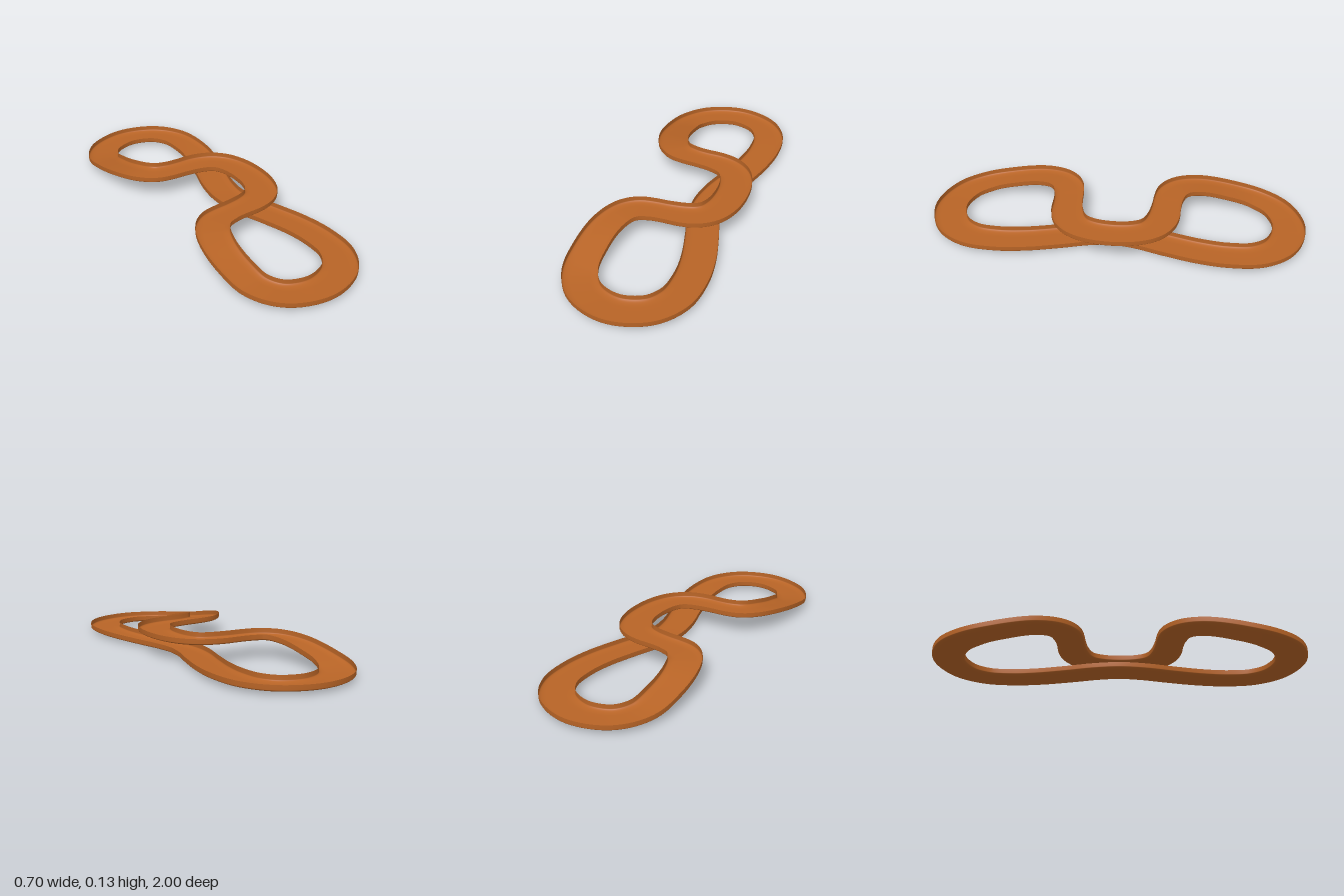
import * as THREE from 'three';

// Centre line of the front half (x, y, z), from the low crossing strand round the loop to the high one
const HALF = [
  [0.135, 0.0178, 0], [0.152, 0.0185, 0.13], [0.198, 0.022, 0.28], [0.244, 0.026, 0.45],
  [0.262, 0.028, 0.60], [0.244, 0.029, 0.75], [0.162, 0.029, 0.862], [0, 0.029, 0.9145],
  [-0.162, 0.030, 0.862], [-0.244, 0.040, 0.75], [-0.262, 0.069, 0.60], [-0.248, 0.098, 0.45],
  [-0.207, 0.111, 0.345], [-0.153, 0.113, 0.293], [-0.080, 0.113, 0.272], [0, 0.113, 0.264],
  [0.090, 0.113, 0.255], [0.160, 0.113, 0.232], [0.212, 0.113, 0.188], [0.247, 0.113, 0.11],
  [0.260, 0.113, 0],
];

// Open tray section: upright rims curving into a flat floor, from one rim to the other
function traySection() {
  const w = 0.0858, top = 0.0175, bottom = -0.0175, rx = 0.04, ry = 0.012, steps = 6;
  const half = [[w, top]];
  for (let i = 0; i <= steps; i++) {
    const a = (i / steps) * Math.PI / 2;
    half.push([w - rx + rx * Math.cos(a), bottom + ry - ry * Math.sin(a)]);
  }
  return [...half, ...half.map(([s, h]) => [-s, h]).reverse()];
}

// The high strand narrows a little where it crosses the middle
const widthAt = (p) => (p.y > 0.1 ? 1 - 0.1 * Math.exp(-(((p.x + 0.02) / 0.1) ** 2)) : 1);

// Sweep the open section round the closed path, keeping its width level
function sweepLevel(curve, section, steps) {
  const pos = [], idx = [];
  const n = section.length;
  const up = new THREE.Vector3(0, 1, 0);
  for (let i = 0; i < steps; i++) {
    const p = curve.getPointAt(i / steps);
    const t = curve.getTangentAt(i / steps);
    const side = new THREE.Vector3().crossVectors(t, up).normalize();
    const normal = new THREE.Vector3().crossVectors(side, t);
    const width = widthAt(p);
    for (const [s, h] of section) {
      const v = p.clone().addScaledVector(side, s * width).addScaledVector(normal, h);
      pos.push(v.x, v.y, v.z);
    }
    const next = (i + 1) % steps;
    for (let j = 0; j < n - 1; j++) {
      const a = i * n + j, b = a + 1, d = next * n + j, c = d + 1;
      idx.push(a, b, d, b, c, d);
    }
  }
  const geo = new THREE.BufferGeometry();
  geo.setAttribute('position', new THREE.Float32BufferAttribute(pos, 3));
  geo.setIndex(idx);
  geo.computeVertexNormals();
  return geo;
}

export function createModel() {
  const group = new THREE.Group();
  group.name = 'twistedLink';

  // Mirror the half path in z to close the double loop
  const front = HALF.map(([x, y, z]) => new THREE.Vector3(x, y, z));
  const back = HALF.slice(1, -1).reverse().map(([x, y, z]) => new THREE.Vector3(x, y, -z));
  const path = new THREE.CatmullRomCurve3([...front, ...back], true, 'centripetal');
  path.arcLengthDivisions = 1200;

  // Thin shell, open along its top
  const tray = new THREE.Mesh(
    sweepLevel(path, traySection(), 320),
    new THREE.MeshStandardMaterial({ color: 0xb86426, side: THREE.DoubleSide }),
  );
  tray.name = 'loopedTray';
  group.add(tray);
  return group;
}
